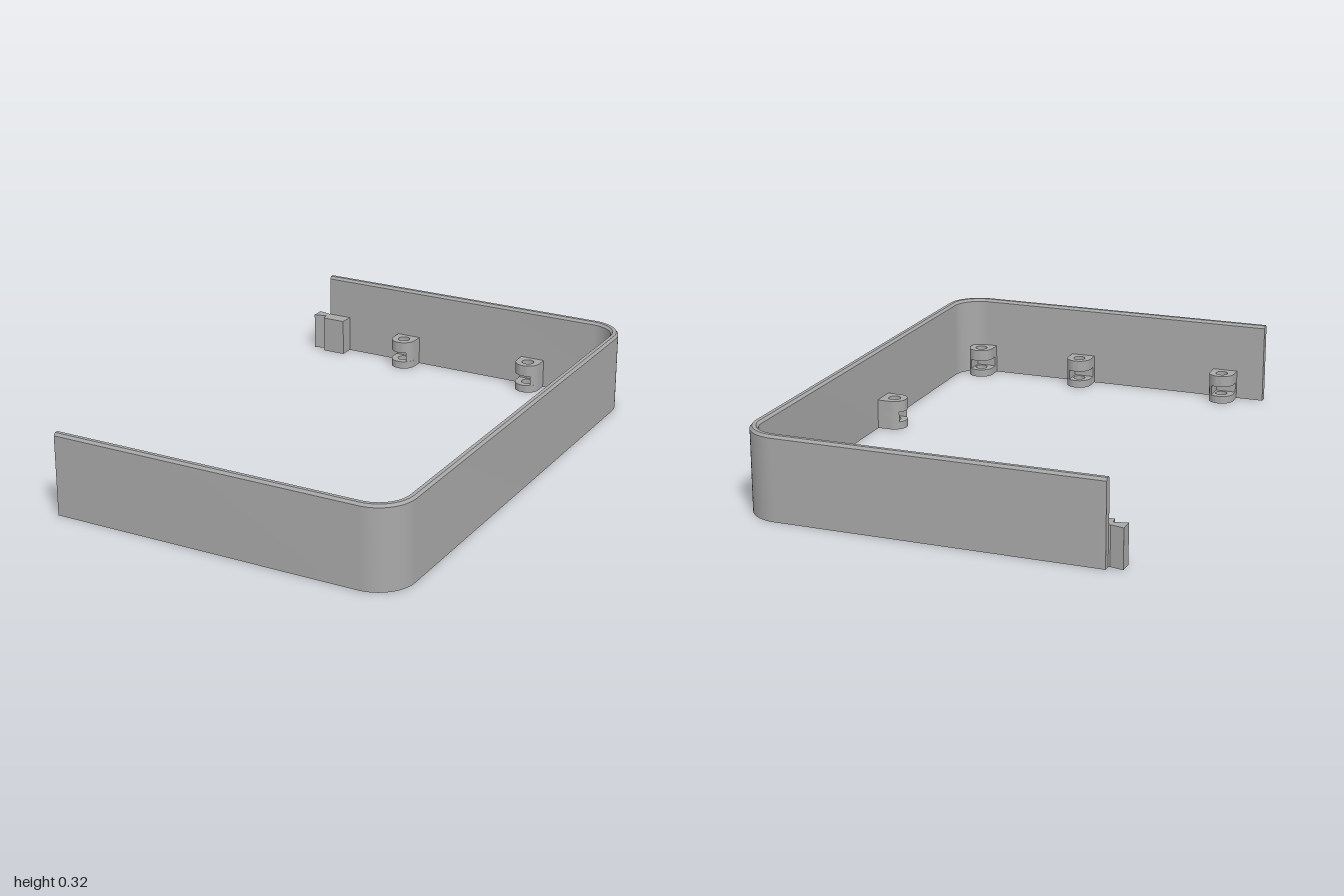
import * as THREE from 'three';
import { toCreasedNormals } from 'three/addons/utils/BufferGeometryUtils.js';

const grey = new THREE.MeshStandardMaterial({ color: 0xa9a9a9 });
grey.name = 'grey plastic';

function mesh(name, geometry) {
  const m = new THREE.Mesh(toCreasedNormals(geometry, 0.5), grey);
  m.name = name;
  return m;
}

// Upright prism from a plan outline (plan y points to -z)
function prism(name, shape, y0, y1) {
  const g = new THREE.ExtrudeGeometry(shape, { depth: y1 - y0, bevelEnabled: false, curveSegments: 24 });
  g.rotateX(-Math.PI / 2);
  g.translate(0, y0, 0);
  return mesh(name, g);
}

const polygon = (pts) => new THREE.Shape(pts.map(([x, y]) => new THREE.Vector2(x, y)));

// C-shaped wall: chamfered section swept round two corners
function wallGeometry() {
  const section = [[0, 0], [0, 0.306], [0.008, 0.316], [0.022, 0.316], [0.03, 0.306], [0.03, 0]];
  const R = 0.14, cx = 0.56, cz = 0.86, steps = 16;
  const path = [{ x: -0.65, z: -1, nx: 0, nz: -1 }];
  for (const side of [-1, 1]) {
    for (let i = 0; i <= steps; i++) {
      const a = (i / steps + (side < 0 ? -1 : 0)) * Math.PI / 2;
      const nx = Math.cos(a), nz = Math.sin(a);
      path.push({ x: cx + R * nx, z: side * cz + R * nz, nx, nz });
    }
  }
  path.push({ x: -0.65, z: 1, nx: 0, nz: 1 });

  const pos = [];
  const n = section.length, last = path.length - 1;
  const P = (i, j) => {
    const p = path[i], [d, y] = section[j % n];
    return [p.x - p.nx * d, y, p.z - p.nz * d];
  };
  const tri = (a, b, c) => pos.push(...a, ...b, ...c);
  for (let i = 0; i < last; i++) {
    for (let j = 0; j < n; j++) {
      tri(P(i, j), P(i, j + 1), P(i + 1, j + 1));
      tri(P(i, j), P(i + 1, j + 1), P(i + 1, j));
    }
  }
  for (let j = 1; j < n - 1; j++) {
    tri(P(0, 0), P(0, j + 1), P(0, j));
    tri(P(last, 0), P(last, j), P(last, j + 1));
  }
  const g = new THREE.BufferGeometry();
  g.setAttribute('position', new THREE.Float32BufferAttribute(pos, 3));
  return g;
}

// Screw boss: rounded tab with a hole and a nut slot opening towards -x
const r = 0.05, back = 0.055;
function tabShape() {
  const s = new THREE.Shape();
  s.moveTo(r, back);
  s.lineTo(-r, back);
  s.lineTo(-r, 0);
  s.absarc(0, 0, r, Math.PI, Math.PI * 2, false);
  s.lineTo(r, back);
  s.holes.push(new THREE.Path().absarc(0, 0, 0.024, 0, Math.PI * 2, true));
  return s;
}

function boss(x, z, wall) {
  const g = new THREE.Group();
  g.name = 'screwBoss';
  let slotted;
  if (wall === 'side') {
    slotted = polygon([[r, back], [-r, back], [-r, 0], [-0.046, -0.02], [-0.036, -0.035],
      [-0.036, 0.032], [0.036, 0.032], [0.036, -0.035], [0.046, -0.02], [r, 0]]);
  } else {
    const s = wall === 'front' ? -1 : 1;
    slotted = polygon([[r, back], [-r, back], [-r, 0.032], [0.03, 0.032], [0.03, -0.04],
      [0.042, -0.027], [0.048, -0.014], [r, 0]].map(([u, v]) => [u * s, v]));
  }
  g.add(
    prism('bossBase', tabShape(), 0, 0.03),
    prism('bossNutSlot', slotted, 0.03, 0.07),
    prism('bossTop', tabShape(), 0.07, 0.115),
  );
  g.position.set(x, 0, z);
  g.rotation.y = { back: 0, front: Math.PI, side: -Math.PI / 2 }[wall];
  return g;
}

export function createModel() {
  const model = new THREE.Group();
  model.name = 'frameHalf';
  model.add(mesh('wall', wallGeometry()));

  for (const x of [-0.27, 0.3]) model.add(boss(x, -0.925, 'back'));
  for (const x of [-0.49, 0.13, 0.575]) model.add(boss(x, 0.92, 'front'));
  for (const z of [-0.62, 0.13]) model.add(boss(0.62, z, 'side'));

  // Joining clip: block on the back wall with a flared tongue past its end
  model.add(prism('joiningClip', polygon([
    [-0.555, 0.975], [-0.65, 0.975], [-0.655, 0.97], [-0.705, 0.982],
    [-0.705, 0.93], [-0.655, 0.942], [-0.65, 0.912], [-0.555, 0.912],
  ]), 0, 0.147));
  return model;
}
